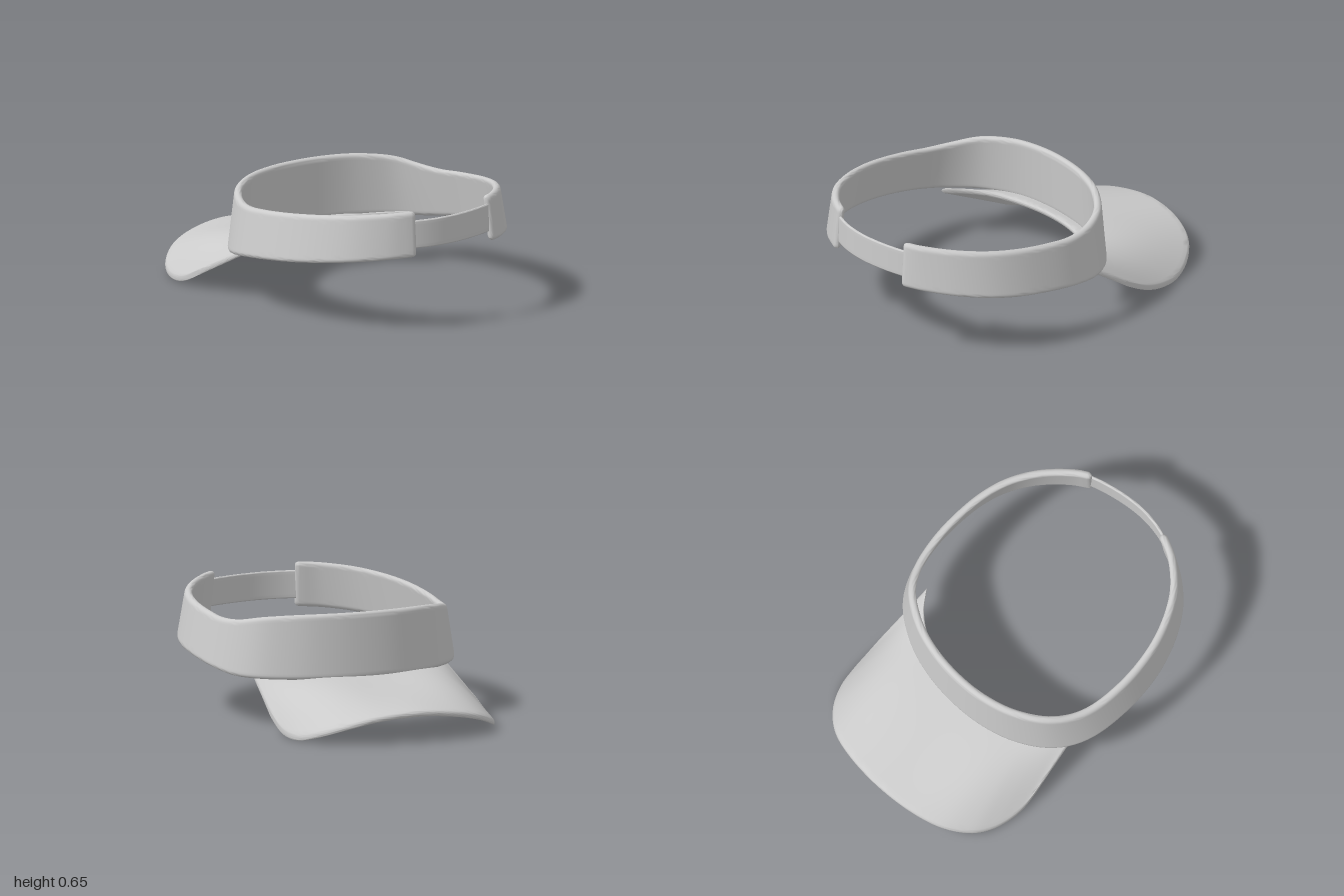
import * as THREE from 'three';
import { toCreasedNormals } from 'three/addons/utils/BufferGeometryUtils.js';

const V = (x, y, z) => new THREE.Vector3(x, y, z);
const spline = (pts) => new THREE.CatmullRomCurve3(pts.map((p) => V(...p)));
const mat = new THREE.MeshStandardMaterial({ color: 0xcccccc });

// Smooth height lookup along x
function heightCurve(xs, ys) {
  const f = new THREE.CubicInterpolant(xs, ys, 1, new Float32Array(1));
  return (x) => f.evaluate(x)[0];
}

// Skin rings of points; each ring is a closed section
function skin(name, rings) {
  const m = rings[0].length;
  const all = rings.flat();
  const tris = [];
  for (let i = 0; i < rings.length - 1; i++) {
    for (let j = 0; j < m; j++) {
      const k = (j + 1) % m;
      const a = i * m + j, b = i * m + k, c = a + m, d = b + m;
      tris.push([a, b, c], [b, d, c]);
    }
  }
  // Signed volume decides which way the faces wind
  let volume = 0;
  for (const [a, b, c] of tris) volume += all[a].dot(V(0, 0, 0).crossVectors(all[b], all[c]));
  const geo = new THREE.BufferGeometry().setFromPoints(all);
  geo.setIndex(tris.flatMap(([a, b, c]) => (volume > 0 ? [a, b, c] : [a, c, b])));
  const mesh = new THREE.Mesh(toCreasedNormals(geo, 1.0), mat);
  mesh.name = name;
  return mesh;
}

// 0 at both ends, rising in a quarter circle to 1 within width w
function endRound(t, w) {
  const d = Math.min(1, Math.min(t, 1 - t) / w);
  return Math.sqrt(Math.max(0, 1 - (1 - d) ** 2));
}

// Steps packed closely at both ends so the rounding is smooth
function steps(n, w) {
  const ends = [0, 0.03, 0.13, 0.3, 0.6];
  const list = ends.map((e) => e * w);
  for (let i = 0; i <= n; i++) list.push(w + (1 - 2 * w) * (i / n));
  return list.concat(ends.map((e) => 1 - e * w).reverse());
}

// Upright ribbon with rounded rims, following the outer outline
function ribbon(name, path, bottom, top, r, lean, corner, n) {
  const endWidth = 0.006;
  const rings = steps(n, endWidth).map((t) => {
    const p = path.getPointAt(t);
    const g = path.getTangentAt(t);
    const out = V(g.z, 0, -g.x).normalize();
    if (out.dot(V(p.x - 0.28, 0, p.z)) < 0) out.negate();
    const f = endRound(t, endWidth);
    const cut = corner * (1 - f);
    const lo = bottom(p.x) + cut, hi = top(p.x) - cut;
    const slope = lean * (0.4 + 0.6 * out.z ** 2);
    const ring = [];
    const add = (w, y) => {
      const h = (y - lo) / (hi - lo);
      const q = p.clone().addScaledVector(out, -r + w * f - slope * h);
      ring.push(V(q.x, y, q.z));
    };
    const rim = (y, start) => {
      for (let i = 0; i <= 8; i++) {
        const a = start + (i / 8) * Math.PI;
        add(r * Math.cos(a), y + r * Math.sin(a));
      }
    };
    // Walls have extra rows close to the rims
    const wall = (w, from, to) => {
      for (const k of [0.04, 0.12, 0.3, 0.5, 0.7, 0.88, 0.96]) add(w, from + (to - from) * k);
    };
    rim(hi - r, 0);
    wall(-r, hi - r, lo + r);
    rim(lo + r, Math.PI);
    wall(r, lo + r, hi - r);
    return ring;
  });
  return skin(name, rings);
}

// Curved brim lofted between the edge under the band and the free edge
function brim() {
  const inner = spline([
    [0.01, 0.3, 0.585], [-0.115, 0.285, 0.51], [-0.212, 0.275, 0.4], [-0.285, 0.273, 0.2],
    [-0.312, 0.273, 0.02], [-0.303, 0.273, -0.15], [-0.252, 0.275, -0.33],
    [-0.175, 0.285, -0.45], [-0.07, 0.3, -0.535],
  ]);
  const outer = spline([
    [-0.38, 0.1, 0.636], [-0.5, 0.04, 0.645], [-0.6, 0.017, 0.634], [-0.7, 0.017, 0.606],
    [-0.8, 0.042, 0.55], [-0.9, 0.088, 0.435], [-0.965, 0.128, 0.27], [-0.998, 0.153, 0.04],
    [-0.98, 0.135, -0.2], [-0.93, 0.097, -0.35], [-0.83, 0.05, -0.465], [-0.71, 0.017, -0.53],
    [-0.6, 0.017, -0.551], [-0.5, 0.04, -0.556], [-0.36, 0.11, -0.554],
  ]);
  const half = 0.016, vs = steps(24, 0.02);
  const rings = steps(64, 0.015).map((u) => {
    const a = inner.getPointAt(u), b = outer.getPointAt(u);
    const bulge = 0.035 * Math.sin(2 * Math.PI * Math.min(u, 1 - u)) ** 2;
    const side = endRound(u, 0.015);
    const at = (v, s) => {
      const p = a.clone().lerp(b, v);
      p.y += bulge * Math.sin(Math.PI * v) + s * half * side * endRound(v, 0.02);
      return p;
    };
    return [...vs.map((v) => at(v, 1)), ...vs.slice(1, -1).reverse().map((v) => at(v, -1))];
  });
  return skin('brim', rings);
}

export function createModel() {
  const group = new THREE.Group();
  group.name = 'sunVisor';

  // Head band, open at the back
  const bandPath = spline([
    [0.953, 0, -0.322], [0.885, 0, -0.425], [0.75, 0, -0.56], [0.6, 0, -0.652],
    [0.45, 0, -0.698], [0.27, 0, -0.714], [0.08, 0, -0.702], [-0.1, 0, -0.65],
    [-0.23, 0, -0.56], [-0.345, 0, -0.38], [-0.4, 0, -0.2], [-0.418, 0, 0], [-0.4, 0, 0.2],
    [-0.335, 0, 0.4], [-0.21, 0, 0.575], [-0.04, 0, 0.675], [0.2, 0, 0.71], [0.45, 0, 0.687],
    [0.65, 0, 0.618], [0.81, 0, 0.513], [0.93, 0, 0.365], [0.993, 0, 0.217],
  ]);
  const bandTop = heightCurve(
    [-0.42, -0.36, -0.25, -0.1, 0.05, 0.2, 0.5, 1],
    [0.612, 0.608, 0.592, 0.563, 0.556, 0.57, 0.603, 0.656]);
  const bandBottom = heightCurve(
    [-0.42, -0.25, -0.1, 0, 0.15, 0.5, 1],
    [0.262, 0.263, 0.268, 0.282, 0.304, 0.348, 0.412]);
  group.add(ribbon('headBand', bandPath, bandBottom, bandTop, 0.021, 0.05, 0.018, 110));

  // Thin strap bridging the gap, tucked into the band ends
  const strapPath = spline([
    [0.877, 0, -0.388], [0.921, 0, -0.325], [0.974, 0, -0.16], [0.997, 0, 0],
    [0.989, 0, 0.13], [0.958, 0, 0.245], [0.925, 0, 0.32],
  ]);
  group.add(ribbon('backStrap', strapPath, () => 0.455, () => 0.607, 0.008, 0.012, 0.008, 30));

  group.add(brim());
  return group;
}
